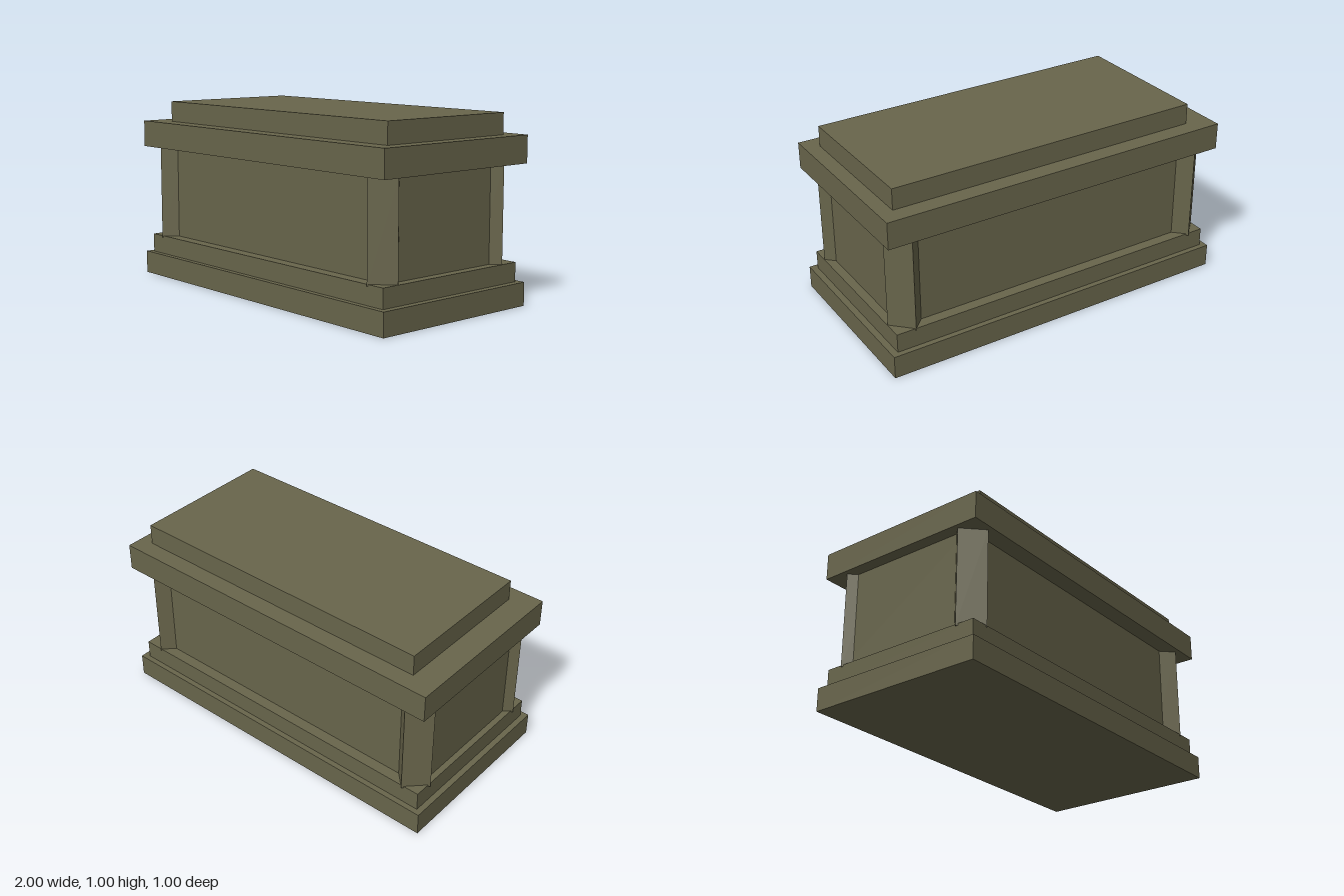
import * as THREE from 'three';

export function createModel() {
  const group = new THREE.Group();
  const stone = new THREE.MeshStandardMaterial({ color: 0x68654b });
  stone.name = 'olive stone';

  // Box given by its extents on each axis
  function block(name, [x0, x1], [y0, y1], [z0, z1]) {
    const mesh = new THREE.Mesh(new THREE.BoxGeometry(x1 - x0, y1 - y0, z1 - z0), stone);
    mesh.name = name;
    mesh.position.set((x0 + x1) / 2, (y0 + y1) / 2, (z0 + z1) / 2);
    group.add(mesh);
  }

  // Stepped base, chest body and stepped lid
  block('basePlinth', [-1, 1], [0, 0.125], [-0.5, 0.5]);
  block('baseStep', [-0.968, 0.964], [0.125, 0.228], [-0.47, 0.47]);
  block('body', [-0.935, 0.915], [0.228, 0.74], [-0.41, 0.405]);
  block('lidSlab', [-1, 1], [0.74, 0.886], [-0.5, 0.5]);
  block('lidTop', [-0.858, 0.92], [0.886, 1], [-0.405, 0.405]);

  // Corner posts turned 45 degrees; each outer face centre is given as x, z
  const width = 0.148;
  const corners = [
    ['frontLeftPost', 0.91, 0.422],
    ['frontRightPost', -0.924, 0.422],
    ['backLeftPost', 0.91, -0.42],
    ['backRightPost', -0.924, -0.426],
  ];
  for (const [name, x, z] of corners) {
    const post = new THREE.Mesh(new THREE.BoxGeometry(width, 0.522, width), stone);
    const inset = (width / 2) * Math.SQRT1_2;
    post.name = name;
    post.position.set(x - Math.sign(x) * inset, 0.479, z - Math.sign(z) * inset);
    post.rotation.y = Math.PI / 4;
    group.add(post);
  }

  return group;
}
